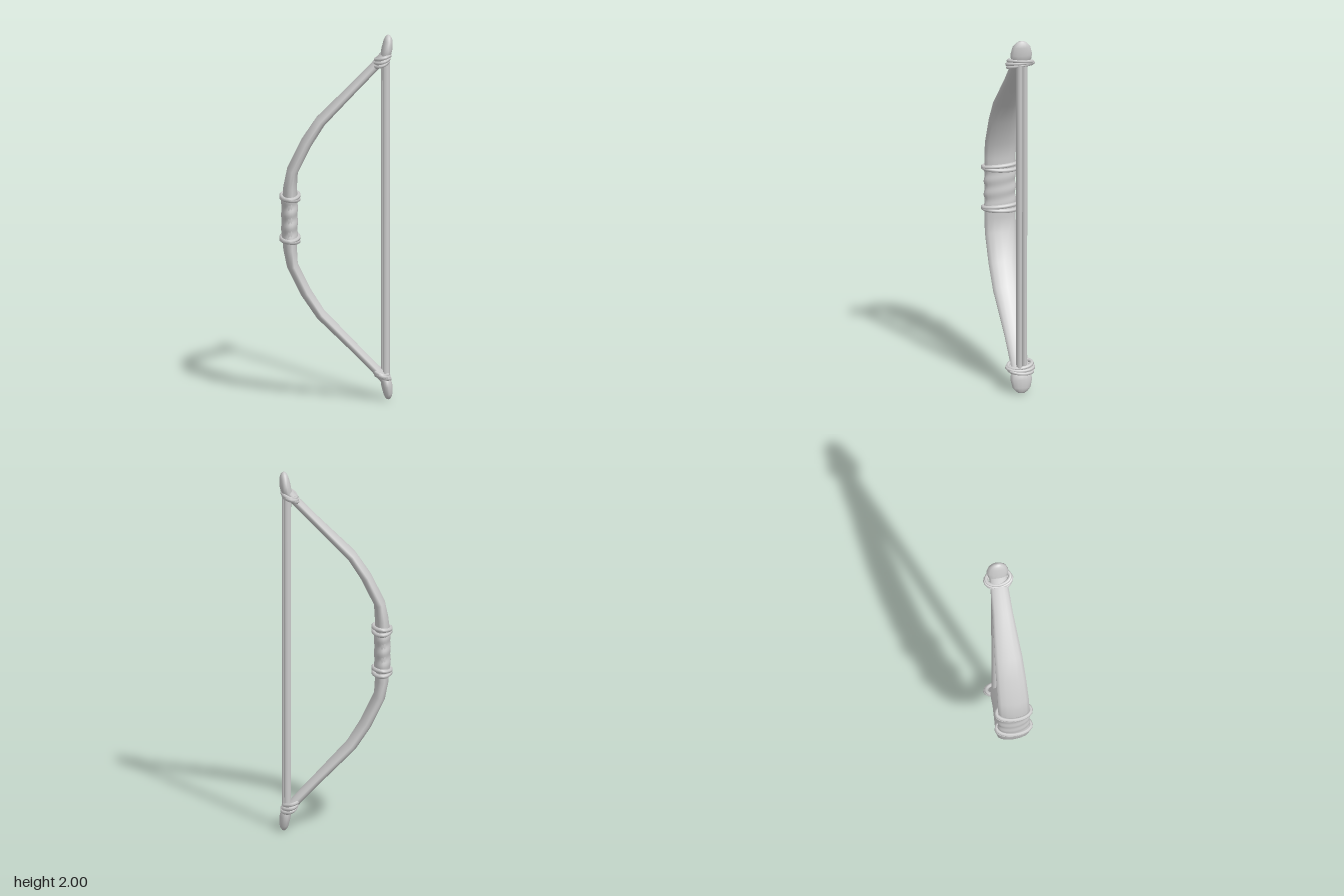
import * as THREE from 'three';

const grey = new THREE.MeshStandardMaterial({ color: 0xcccccc });
grey.name = 'pale grey';

// The bow lies in a vertical plane turned about y; V is the direction across its limbs.
const SLOPE = 0.3;
const U = new THREE.Vector3(1, 0, SLOPE).normalize();
const V = new THREE.Vector3(-U.z, 0, U.x);
const onPlane = (x, y) => new THREE.Vector3(x, y, -0.06 + (x + 0.24) * SLOPE);

function part(name, geometry) {
  const mesh = new THREE.Mesh(geometry, grey);
  mesh.name = name;
  return mesh;
}

// Sweep of elliptical sections; each station is [x, y, half thickness, half width], from bottom to top.
function loft(stations, sides = 14, ripple = () => 1) {
  const centres = stations.map(([x, y]) => onPlane(x, y));
  const positions = [], index = [];
  stations.forEach(([, y, a, b], i) => {
    const before = centres[Math.max(i - 1, 0)];
    const after = centres[Math.min(i + 1, centres.length - 1)];
    const tangent = after.clone().sub(before).normalize();
    const normal = V.clone().cross(tangent).normalize().negate();
    for (let j = 0; j < sides; j++) {
      const t = (j / sides) * Math.PI * 2, k = ripple(t, y);
      const p = centres[i].clone()
        .addScaledVector(normal, a * k * Math.cos(t))
        .addScaledVector(V, b * k * Math.sin(t));
      positions.push(p.x, p.y, p.z);
      if (i < stations.length - 1) {
        const p0 = i * sides + j, p1 = i * sides + (j + 1) % sides;
        index.push(p0, p0 + sides, p1, p1, p0 + sides, p1 + sides);
      }
    }
  });
  const g = new THREE.BufferGeometry();
  g.setAttribute('position', new THREE.Float32BufferAttribute(positions, 3));
  // V x tangent points along -U, so the negated normal gives this outward order
  g.setIndex(index);
  g.computeVertexNormals();
  return g;
}

// Closed elliptical cord; rise tilts it along U, lean tilts it along V.
function coil(x, y, rx, rv, tube, rise, lean) {
  const centre = onPlane(x, y), points = [];
  for (let i = 0; i < 14; i++) {
    const t = (i / 14) * Math.PI * 2;
    const p = centre.clone()
      .addScaledVector(U, rx * Math.cos(t))
      .addScaledVector(V, rv * Math.sin(t));
    p.y += rise * Math.cos(t) + lean * Math.sin(t);
    points.push(p);
  }
  return new THREE.TubeGeometry(new THREE.CatmullRomCurve3(points, true), 28, tube, 6, true);
}

const mirrored = (stations) => stations.map(([x, y, a, b]) => [x, 2 - y, a, b]).reverse();

export function createModel() {
  const bow = new THREE.Group();
  bow.name = 'bow';

  // Curved limbs in one piece
  const upper = [
    [-0.24, 1.1, 0.039, 0.085],
    [-0.237, 1.17, 0.037, 0.087],
    [-0.225, 1.26, 0.031, 0.086],
    [-0.155, 1.41, 0.031, 0.082],
    [-0.08, 1.53, 0.029, 0.076],
    [0.1, 1.722, 0.025, 0.056],
    [0.2, 1.83, 0.025, 0.05],
    [0.245, 1.885, 0.025, 0.048],
  ];
  bow.add(part('limbs', loft([...mirrored(upper), ...upper])));

  // Twisted grip wrapping
  const grip = [];
  for (let i = 0; i <= 20; i++) grip.push([-0.24, 0.885 + i * 0.0115, 0.044, 0.086]);
  bow.add(part('grip', loft(grip, 20, (t, y) => 1 + 0.04 * Math.sin(y * 85 + t))));

  // Rounded tips
  const tip = [
    [0.243, 1.87, 0.022, 0.045],
    [0.256, 1.895, 0.029, 0.056],
    [0.262, 1.925, 0.03, 0.06],
    [0.268, 1.968, 0.025, 0.049],
    [0.269, 1.988, 0.018, 0.032],
    [0.27, 1.998, 0.009, 0.017],
    [0.27, 2.0, 0.0005, 0.0005],
  ];
  bow.add(part('upperTip', loft(tip)), part('lowerTip', loft(mirrored(tip))));

  // Cord bindings beside the grip and at both tips
  for (const side of [1, -1]) {
    const label = side > 0 ? 'upper' : 'lower';
    const gripBinding = new THREE.Group();
    gripBinding.name = label + 'GripBinding';
    for (const k of [-1, 1]) {
      gripBinding.add(part('cord', coil(-0.238, 1 + side * 0.115 + k * 0.008, 0.046, 0.094, 0.012, k * 0.004, -k * 0.006)));
    }
    const tipBinding = new THREE.Group();
    tipBinding.name = label + 'TipBinding';
    for (const k of [-1, 0, 1]) {
      tipBinding.add(part('cord', coil(0.236 + k * 0.005, 1 + side * (0.863 + k * 0.014), 0.038, 0.072 - Math.abs(k) * 0.006, 0.011, side * 0.012, k * 0.007)));
    }
    bow.add(gripBinding, tipBinding);
  }

  // Bowstring of two parallel strands
  for (const z of [0.1, 0.069]) {
    const strand = part('stringStrand', new THREE.CylinderGeometry(1, 0.92, 1.74, 8));
    strand.scale.set(0.021, 1, 0.016);
    strand.position.set(0.256, 1, z);
    bow.add(strand);
  }
  return bow;
}
